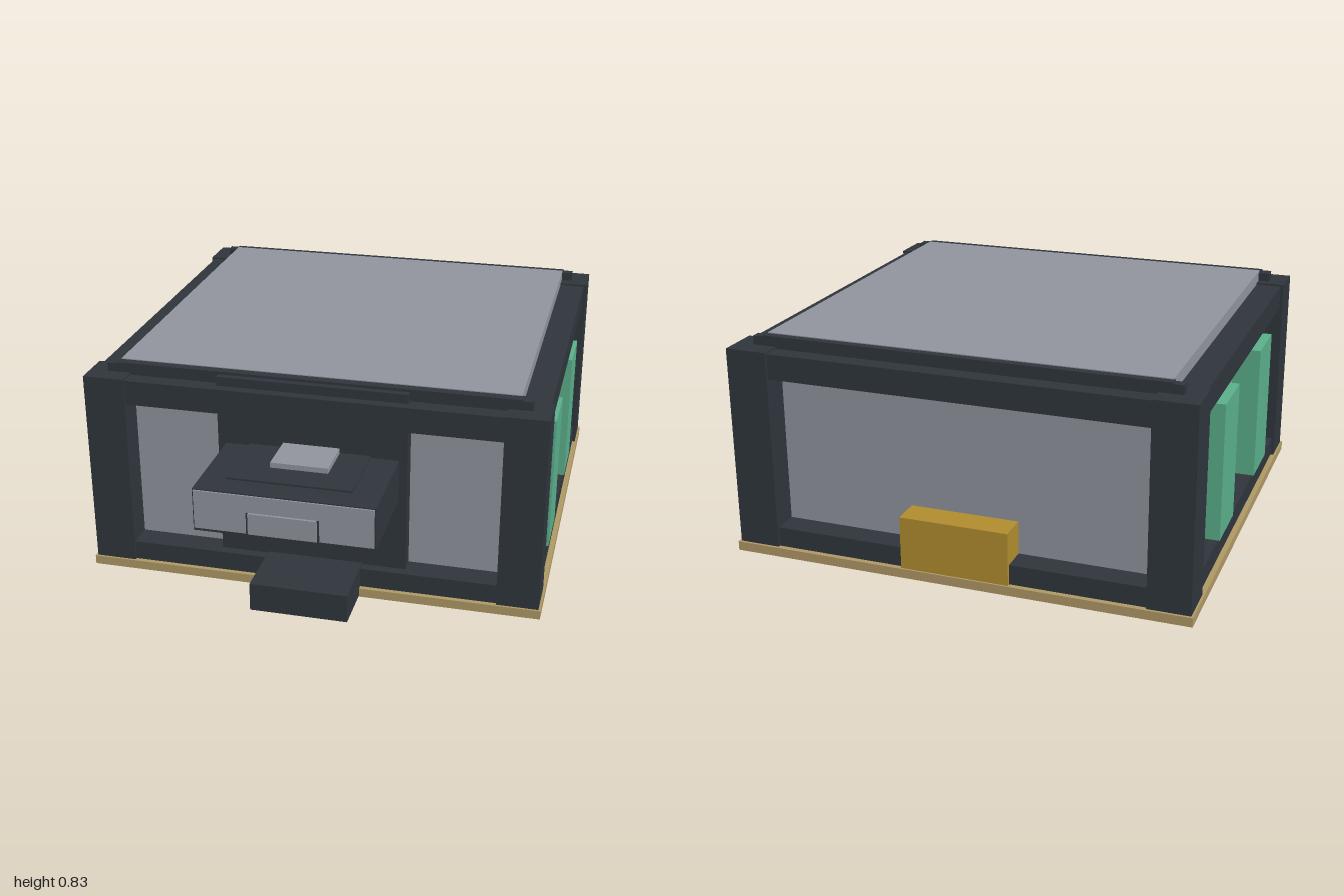
import * as THREE from 'three';

const mat = (name, color) => {
  const m = new THREE.MeshStandardMaterial({ color });
  m.name = name;
  return m;
};

export function createModel() {
  const model = new THREE.Group();
  model.name = 'serviceModule';
  const dark = mat('dark frame', 0x2e353b);
  const grey = mat('grey panel', 0x90939d);
  const green = mat('green unit', 0x5aae8a);
  const gold = mat('gold unit', 0xb08c2d);
  const tan = mat('tan base', 0xae9865);

  // Box given by its limits on each axis
  const box = (name, material, [x0, x1], [y0, y1], [z0, z1], parent = model) => {
    const mesh = new THREE.Mesh(new THREE.BoxGeometry(x1 - x0, y1 - y0, z1 - z0), material);
    mesh.position.set((x0 + x1) / 2, (y0 + y1) / 2, (z0 + z1) / 2);
    mesh.name = name;
    parent.add(mesh);
    return mesh;
  };

  // Base plate and enclosed body, whose top is the roof panel
  box('basePlate', tan, [-0.87, 0.87], [0, 0.035], [-1, 0.66]);
  box('body', grey, [-0.75, 0.75], [0.035, 0.833], [-0.885, 0.545]);

  // Corner posts
  const frame = new THREE.Group();
  frame.name = 'frame';
  model.add(frame);
  for (const x of [[-0.862, -0.705], [0.705, 0.862]]) {
    for (const z of [[-0.99, -0.83], [0.495, 0.652]]) {
      box('cornerPost', dark, x, [0.035, 0.792], z, frame);
    }
  }

  // Upper and lower rails on all four sides
  for (const y of [[0.035, 0.11], [0.69, 0.785]]) {
    box('frontRail', dark, [-0.71, 0.71], y, [0.54, 0.642], frame);
    box('backRail', dark, [-0.71, 0.71], y, [-0.98, -0.88], frame);
    for (const x of [[-0.85, -0.745], [0.745, 0.85]]) {
      box('sideRail', dark, x, y, [-0.84, 0.5], frame);
    }
  }

  // Roof edging with short returns at the corners
  box('frontRoofTrim', dark, [-0.755, 0.755], [0.78, 0.83], [0.54, 0.58]);
  box('backRoofTrim', dark, [-0.755, 0.755], [0.78, 0.83], [-0.915, -0.88]);
  for (const x of [[-0.793, -0.75], [0.75, 0.793]]) {
    box('roofCorner', dark, x, [0.78, 0.825], [0.53, 0.58]);
    box('roofCorner', dark, x, [0.78, 0.825], [-0.915, -0.88]);
  }

  // Door block and step
  box('doorPanel', dark, [-0.36, 0.355], [0.11, 0.82], [0.54, 0.605]);
  box('step', dark, [-0.178, 0.19], [0.005, 0.115], [0.6, 0.85]);

  // Projecting counter
  const counter = new THREE.Group();
  counter.name = 'counter';
  model.add(counter);
  box('counterBody', dark, [-0.33, 0.325], [0.395, 0.558], [0.6, 0.985], counter);
  box('counterFace', grey, [-0.325, 0.32], [0.407, 0.554], [0.984, 0.991], counter);
  box('counterTopPlate', dark, [-0.24, 0.22], [0.55, 0.565], [0.6, 0.89], counter);
  box('counterUnderside', dark, [-0.24, 0.24], [0.38, 0.4], [0.6, 0.915], counter);
  box('topPad', grey, [-0.108, 0.105], [0.56, 0.585], [0.61, 0.78], counter);
  box('drawerFace', grey, [-0.127, 0.12], [0.41, 0.49], [0.99, 1], counter);
  for (const x of [-0.13, 0.123]) {
    box('drawerSeam', dark, [x - 0.004, x + 0.004], [0.41, 0.49], [0.989, 0.996], counter);
  }

  // Upright units in the side bays
  for (const x of [[-0.857, -0.75], [0.75, 0.857]]) {
    for (const z of [[-0.55, -0.32], [0.073, 0.305]]) {
      box('sideUnit', green, x, [0.11, 0.637], z);
    }
  }

  // Low unit at the back
  box('backUnit', gold, [-0.205, 0.205], [0.035, 0.235], [-0.993, -0.88]);

  return model;
}
